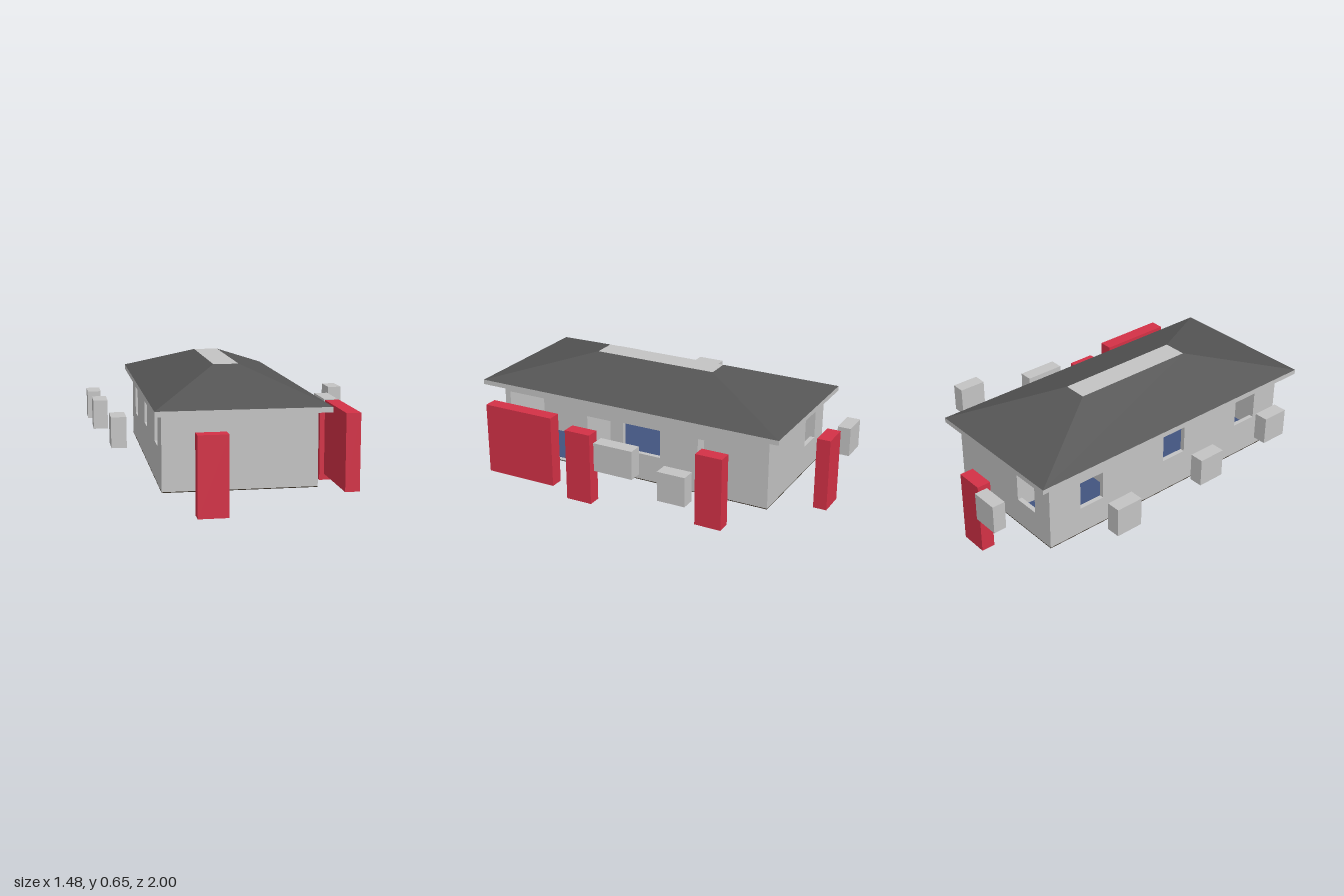
import * as THREE from 'three';

const material = (name, color) => {
  const m = new THREE.MeshStandardMaterial({ color });
  m.name = name;
  return m;
};

export function createModel() {
  const house = new THREE.Group();
  house.name = 'house';
  const grey = material('wall grey', 0xc4c4c4);
  const red = material('door red', 0xd43146);
  const slate = material('roof slate', 0x555555);
  const blue = material('floor blue', 0x42547f);
  const brown = material('base brown', 0x352d22);

  const add = (name, geometry, mat) => {
    const mesh = new THREE.Mesh(geometry, mat);
    mesh.name = name;
    house.add(mesh);
    return mesh;
  };
  // Box given by its lower and upper limits on each axis
  const block = (name, mat, x0, x1, y0, y1, z0, z1) => {
    const g = new THREE.BoxGeometry(x1 - x0, y1 - y0, z1 - z0);
    g.translate((x0 + x1) / 2, (y0 + y1) / 2, (z0 + z1) / 2);
    return add(name, g, mat);
  };

  const X0 = -0.455, X1 = 0.302, Z0 = -0.75, Z1 = 0.843;
  const Y0 = 0.097, Y1 = 0.476, T = 0.025;

  // Wall outline with rectangular openings [u0, u1, y0, y1]
  const wallGeometry = (u0, u1, openings) => {
    const rect = (path, a, b, c, d) =>
      path.moveTo(a, c).lineTo(b, c).lineTo(b, d).lineTo(a, d).closePath();
    const shape = new THREE.Shape();
    rect(shape, u0, u1, Y0, Y1);
    for (const [a, b, c, d] of openings) {
      const hole = new THREE.Path();
      rect(hole, a, b, c, d);
      shape.holes.push(hole);
    }
    return new THREE.ExtrudeGeometry(shape, { depth: T, bevelEnabled: false });
  };

  // Long walls: outline runs along -z, thickness along +x
  const sideWall = (name, x, openings) => {
    const flipped = openings.map(([a, b, c, d]) => [-b, -a, c, d]);
    const g = wallGeometry(-Z1, -Z0, flipped);
    g.rotateY(Math.PI / 2);
    g.translate(x, 0, 0);
    add(name, g, grey);
  };
  sideWall('leftWall', X1 - T, [
    [0.4, 0.81, 0.1, 0.445],
    [0.165, 0.31, 0.1, 0.395],
    [-0.135, 0.088, 0.245, 0.4],
    [-0.505, -0.355, 0.245, 0.4],
  ]);
  sideWall('rightWall', X0, [
    [-0.557, -0.41, 0.245, 0.4],
    [0, 0.15, 0.285, 0.435],
    [0.533, 0.68, 0.285, 0.435],
  ]);

  // End walls
  const endWall = (name, z, openings) => {
    const g = wallGeometry(X0 + T, X1 - T, openings);
    g.translate(0, 0, z);
    add(name, g, grey);
  };
  endWall('frontWall', Z1 - T, []);
  endWall('backWall', Z0, [[-0.335, -0.19, 0.245, 0.4]]);

  // Floor and inner walls
  block('base', brown, X0, X1, 0.093, 0.097, Z0, Z1);
  block('floor', blue, X0 + T, X1 - T, 0.097, 0.102, Z0 + T, Z1 - T);
  block('crossPartition', grey, X0 + T, X1 - T, 0.1, Y1, -0.21, -0.19);
  block('backPartition', grey, -0.09, -0.07, 0.1, Y1, Z0 + T, -0.21);
  block('garagePartition', grey, -0.05, X1 - T, 0.1, Y1, 0.36, 0.38);
  block('garageSidePartition', grey, -0.05, -0.03, 0.1, Y1, 0.38, Z1 - T);

  // Eaves: light rim with a dark soffit
  block('eaves', [grey, grey, grey, slate, grey, grey], -0.497, 0.343, 0.476, 0.502, -0.815, 0.957);

  // Hipped roof: a box whose top is drawn in to a flat light ridge
  const roof = new THREE.BoxGeometry(0.84, 0.146, 1.772);
  const p = roof.attributes.position;
  for (let i = 0; i < p.count; i++) {
    if (p.getY(i) > 0) {
      p.setX(i, Math.sign(p.getX(i)) * 0.065);
      p.setZ(i, Math.sign(p.getZ(i)) * 0.353);
    }
  }
  roof.computeVertexNormals();
  roof.translate(-0.077, 0.575, 0.071);
  add('roof', roof, [slate, slate, grey, slate, slate, slate]);

  // Freestanding door blocks: x range, y range, z range
  [
    ['garageDoor', 0.449, 0.523, 0.053, 0.445, 0.398, 0.81],
    ['leftFrontDoor', 0.446, 0.52, 0, 0.395, 0.163, 0.312],
    ['leftBackDoor', 0.388, 0.462, 0, 0.395, -0.568, -0.42],
    ['frontDoor', -0.306, -0.157, 0, 0.395, 0.927, 1],
    ['backDoor', -0.153, -0.002, 0, 0.395, -0.959, -0.885],
  ].forEach(([name, ...limits]) => block(name, red, ...limits));

  // Freestanding window blocks
  [
    ['leftWideWindow', 0.525, 0.6, 0.245, 0.4, -0.135, 0.088],
    ['leftBackWindow', 0.665, 0.74, 0.245, 0.4, -0.505, -0.355],
    ['backWindow', -0.338, -0.19, 0.245, 0.4, -1, -0.929],
    ['rightBackWindow', -0.742, -0.668, 0.245, 0.4, -0.557, -0.408],
    ['rightMiddleWindow', -0.736, -0.662, 0.284, 0.434, 0, 0.15],
    ['rightFrontWindow', -0.678, -0.604, 0.284, 0.434, 0.533, 0.681],
  ].forEach(([name, ...limits]) => block(name, grey, ...limits));

  return house;
}
